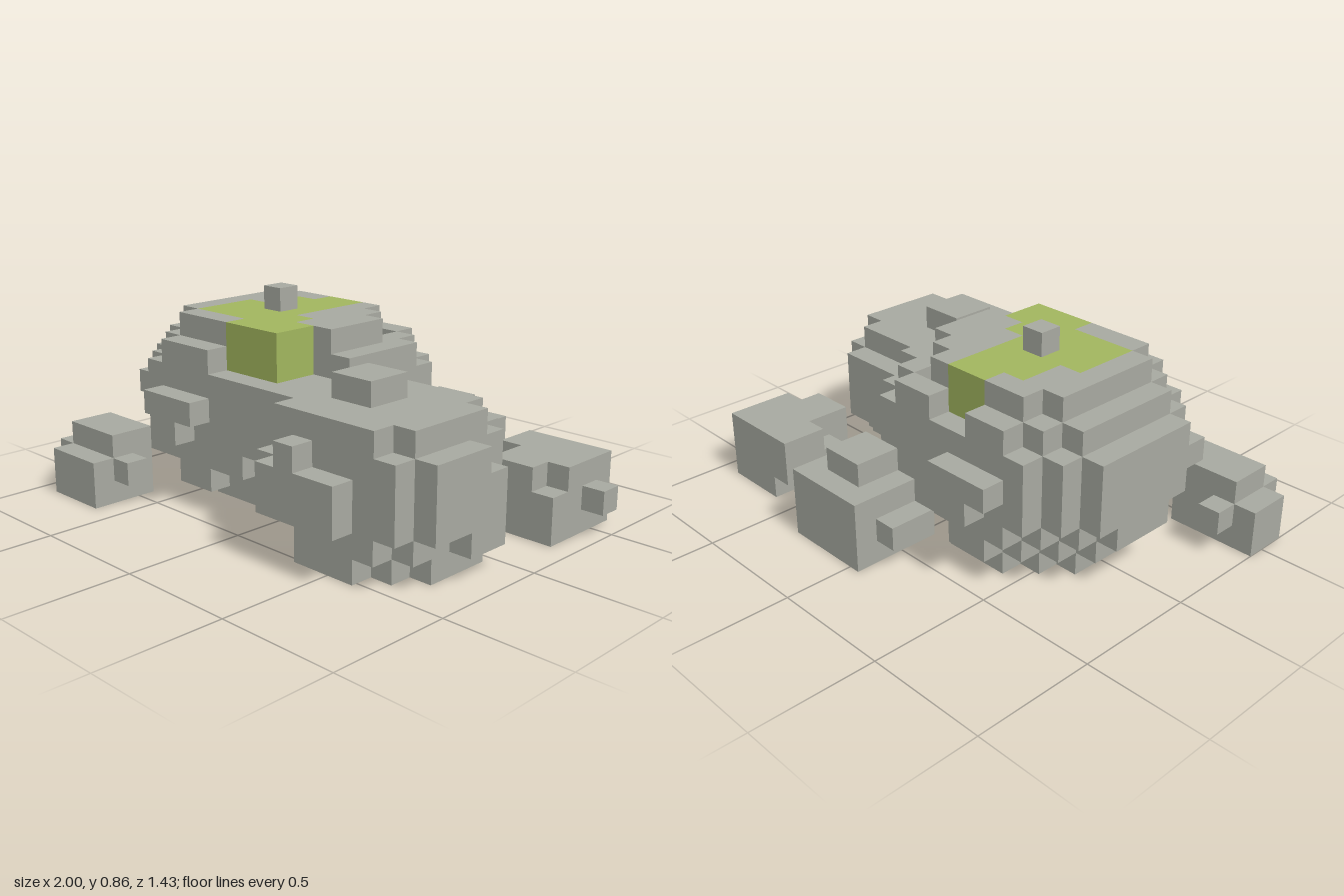
import * as THREE from 'three';
import { mergeGeometries } from 'three/addons/utils/BufferGeometryUtils.js';

const U = 2 / 21; // one block; the grid is 21 x 9 x 15 blocks

// Each slab: [first layer, last layer, x0, x1, z0, z1, corner cut], inclusive block indices.
const ROCKS = {
  mainBoulder: [
    [0, 0, 4, 10, 4, 9, 2],
    [1, 1, 3, 12, 4, 10, 2], [1, 1, 6, 7, 3, 11],
    [2, 2, 3, 12, 4, 10, 1], [2, 2, 4, 9, 11, 11], [2, 2, 5, 10, 3, 3],
    [3, 5, 3, 12, 3, 11, 1],
    [6, 6, 3, 10, 4, 10, 1], [6, 6, 11, 11, 4, 8], [6, 6, 12, 12, 5, 8],
    [7, 7, 4, 10, 4, 10, 1], [7, 7, 11, 11, 6, 8],
  ],
  mainBoulderBumps: [
    [2, 2, 2, 2, 6, 8], [3, 5, 2, 2, 5, 9], [4, 4, 2, 2, 10, 10], [3, 4, 13, 13, 6, 8],
    [4, 4, 5, 7, 12, 12], [3, 3, 6, 6, 12, 12], [4, 4, 5, 7, 2, 2], [3, 3, 6, 6, 2, 2],
    [6, 6, 5, 6, 3, 3], [6, 6, 9, 10, 3, 3], [6, 6, 5, 7, 11, 11],
  ],
  topPebble: [[8, 8, 7, 7, 7, 7]],
  sideBoulder: [
    [0, 0, 13, 17, 7, 12, 1], [0, 0, 18, 18, 8, 10],
    [1, 1, 13, 18, 7, 12, 1],
    [2, 3, 12, 18, 7, 12], [4, 4, 12, 18, 7, 11], [4, 4, 13, 18, 12, 12],
    [5, 5, 12, 18, 7, 12, 1],
  ],
  sideBoulderBumps: [
    [1, 1, 19, 19, 8, 9], [2, 3, 19, 19, 8, 11], [4, 4, 19, 19, 9, 11], [2, 4, 13, 17, 6, 6],
    [6, 6, 14, 15, 9, 10], [2, 3, 13, 16, 13, 13], [4, 4, 14, 14, 13, 13],
  ],
  backRock: [
    [0, 2, 10, 13, 0, 3], [1, 1, 9, 14, 1, 2], [3, 3, 11, 12, 1, 2], [1, 2, 11, 12, 4, 4],
  ],
  backCornerRock: [
    [0, 1, 17, 19, 1, 4], [2, 2, 17, 19, 1, 3], [2, 2, 17, 18, 4, 4],
    [1, 2, 16, 16, 1, 2], [1, 1, 16, 16, 3, 3], [1, 1, 20, 20, 2, 2],
  ],
  frontCornerRock: [
    [0, 1, 0, 3, 12, 13], [0, 1, 1, 3, 14, 14], [2, 2, 1, 3, 12, 13],
    [1, 1, 1, 1, 11, 11], [1, 1, 4, 4, 13, 13],
  ],
  // Moss comes last and replaces the stone in its blocks
  mossPatch: [
    [7, 7, 7, 8, 4, 4], [7, 7, 6, 8, 5, 6], [7, 7, 5, 8, 7, 7], [7, 7, 5, 9, 8, 8],
    [7, 7, 5, 10, 9, 9], [6, 7, 8, 10, 10, 10], [6, 6, 10, 10, 9, 9], [6, 6, 7, 8, 4, 4],
  ],
};

// The six sides: outward direction and the turn that faces a plane that way
const H = Math.PI / 2;
const SIDES = [
  [1, 0, 0, 0, H], [-1, 0, 0, 0, -H], [0, 1, 0, -H, 0],
  [0, -1, 0, H, 0], [0, 0, 1, 0, 0], [0, 0, -1, 0, Math.PI],
].map(([x, y, z, rx, ry]) => ({
  dir: [x, y, z],
  face: new THREE.PlaneGeometry(U, U).rotateX(rx).rotateY(ry).translate(x * U / 2, y * U / 2, z * U / 2),
}));

export function createModel() {
  const stone = new THREE.MeshStandardMaterial({ color: 0xa7a9a0 });
  stone.name = 'stone';
  const mossGreen = new THREE.MeshStandardMaterial({ color: 0xa1b55e });
  mossGreen.name = 'mossGreen';

  // Fill the grid; each block remembers the part it belongs to
  const grid = new Map();
  const fill = (name, [y0, y1, x0, x1, z0, z1, cut = 0]) => {
    for (let y = y0; y <= y1; y++)
      for (let x = x0; x <= x1; x++)
        for (let z = z0; z <= z1; z++) {
          const toCorner = Math.min(x - x0, x1 - x) + Math.min(z - z0, z1 - z);
          if (toCorner >= cut) grid.set([x, y, z].join(), name);
        }
  };
  for (const [name, slabs] of Object.entries(ROCKS)) slabs.forEach((slab) => fill(name, slab));

  // Keep only the block sides that touch open air
  const faces = {};
  for (const [key, name] of grid) {
    const [x, y, z] = key.split(',').map(Number);
    for (const { dir, face } of SIDES) {
      if (grid.has([x + dir[0], y + dir[1], z + dir[2]].join())) continue;
      (faces[name] ??= []).push(
        face.clone().translate((x - 10) * U, (y + 0.5) * U, (z - 7) * U));
    }
  }

  const model = new THREE.Group();
  model.name = 'mossyRocks';
  for (const [name, list] of Object.entries(faces)) {
    const mesh = new THREE.Mesh(mergeGeometries(list), name === 'mossPatch' ? mossGreen : stone);
    mesh.name = name;
    model.add(mesh);
  }
  return model;
}
